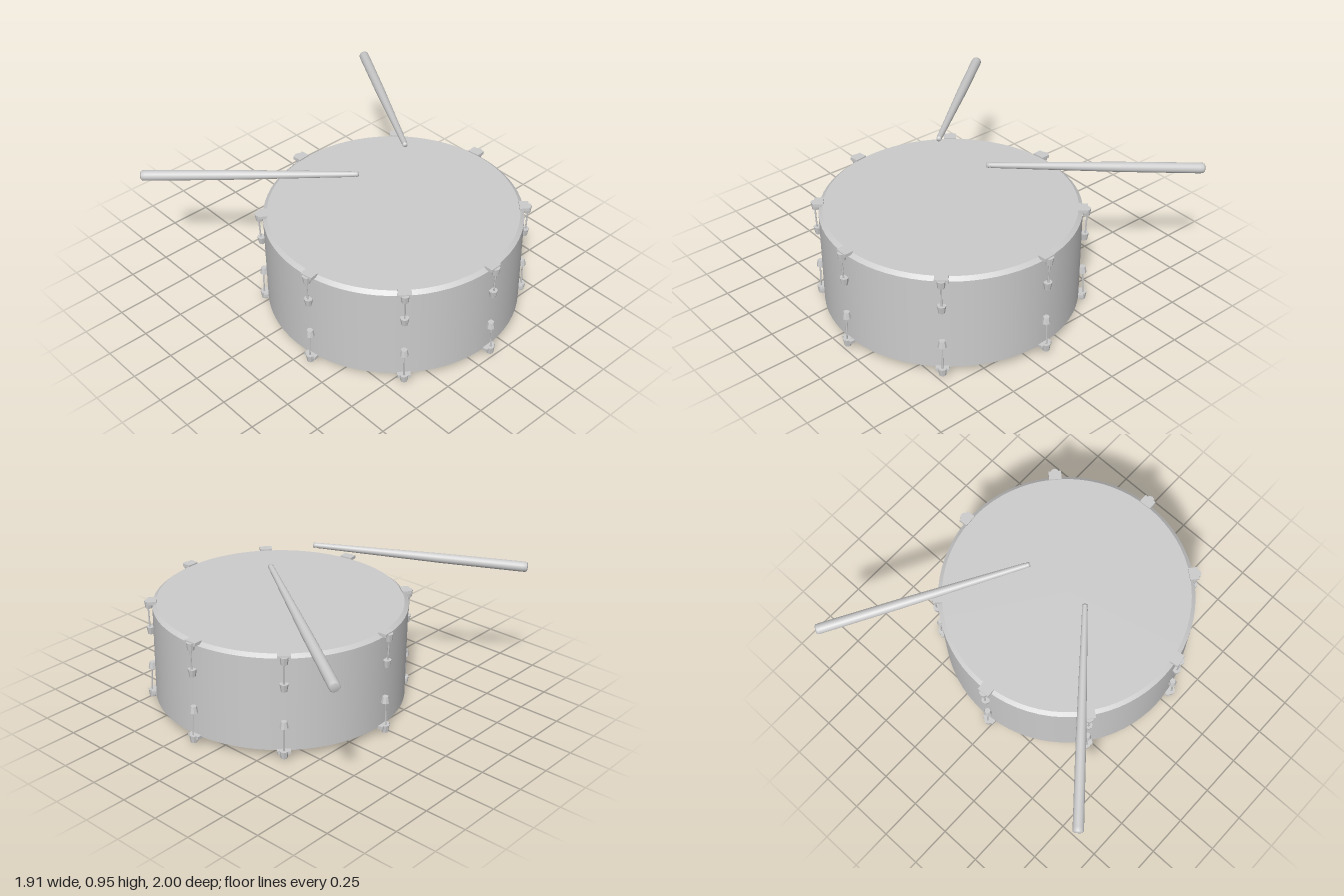
import * as THREE from 'three';

const smooth = new THREE.MeshStandardMaterial({ color: 0xcccccc });
const faceted = new THREE.MeshStandardMaterial({ color: 0xcccccc, flatShading: true });

const R = 0.757, HEAD_R = 0.733;           // shell and head radii
const TOP = 0.647, BOTTOM = 0.053, HOOP = 0.628;

function add(parent, name, geometry, material, x = 0, y = 0, z = 0) {
  const mesh = new THREE.Mesh(geometry, material);
  mesh.name = name;
  mesh.position.set(x, y, z);
  parent.add(mesh);
  return mesh;
}

const lathe = (points, segments) =>
  new THREE.LatheGeometry(points.map(([r, y]) => new THREE.Vector2(r, y)), segments);

// Thin rod between two points in the radial plane
function rod(parent, name, r0, y0, r1, y1) {
  const mesh = add(parent, name, new THREE.CylinderGeometry(0.005, 0.005, Math.hypot(r1 - r0, y1 - y0), 6),
    smooth, (r0 + r1) / 2, (y0 + y1) / 2);
  mesh.rotation.z = -Math.atan2(r1 - r0, y1 - y0);
}

// Claw gripping the hoop: a wide hook with a tapered body outside it
function claw(parent, name, hookY, bodyY) {
  const group = new THREE.Group();
  group.name = name;
  add(group, 'hook', new THREE.BoxGeometry(0.055, 0.02, 0.076), faceted, 0.757, hookY);
  add(group, 'clawBody', new THREE.CylinderGeometry(0.026, 0.02, 0.045, 8), faceted, 0.778, bodyY);
  add(group, 'tensionNut', new THREE.CylinderGeometry(0.012, 0.012, 0.03, 6), faceted, 0.782, bodyY - 0.006);
  parent.add(group);
}

// Upper and lower claw, rod and lug at one angle around the shell
function tensioner(angle) {
  const group = new THREE.Group();
  group.name = 'tensioner';
  group.rotation.y = -angle;
  claw(group, 'topClaw', 0.646, 0.627);
  rod(group, 'topRod', 0.782, 0.61, 0.777, 0.47);
  add(group, 'topLug', new THREE.CylinderGeometry(0.026, 0.018, 0.046, 8), faceted, 0.772, 0.46);
  add(group, 'bottomLug', new THREE.CylinderGeometry(0.018, 0.026, 0.04, 8), faceted, 0.772, 0.227);
  rod(group, 'bottomRod', 0.777, 0.22, 0.782, 0.05);
  claw(group, 'bottomClaw', 0.052, 0.04);
  return group;
}

// Drumstick tapering from a rounded butt to a small bead tip
function stick(name, butt, tip) {
  const a = new THREE.Vector3(...butt), b = new THREE.Vector3(...tip);
  const dir = b.clone().sub(a), L = dir.length();
  const profile = [[0, 0], [0.024, 0], [0.03, 0.008], [0.031, 0.03], [0.029, L * 0.4], [0.016, L - 0.03],
    [0.013, L - 0.022], [0.016, L - 0.014], [0.014, L - 0.004], [0, L]];
  const mesh = new THREE.Mesh(lathe(profile, 20), smooth);
  mesh.name = name;
  mesh.position.copy(a);
  mesh.quaternion.setFromUnitVectors(new THREE.Vector3(0, 1, 0), dir.normalize());
  return mesh;
}

export function createModel() {
  const model = new THREE.Group();
  model.name = 'snareDrumWithSticks';

  // Drum, leaning very slightly
  const drum = new THREE.Group();
  drum.name = 'drum';
  drum.position.set(0.088, 0.002, 0.197);
  drum.rotation.set(-0.005, 0, 0.011);
  model.add(drum);

  add(drum, 'shell', lathe([[R, BOTTOM], [R, HOOP]], 72), smooth);
  add(drum, 'hoop', lathe([[R, HOOP], [HEAD_R, TOP]], 72), smooth);
  add(drum, 'topHead', new THREE.CircleGeometry(HEAD_R, 72), smooth, 0, TOP).rotation.x = -Math.PI / 2;
  add(drum, 'bottomHead', new THREE.CircleGeometry(R, 72), smooth, 0, BOTTOM).rotation.x = Math.PI / 2;

  // Eight slightly uneven tensioners
  for (const deg of [-94.6, -45, -4.2, 42.4, 87.8, 129, 170.8, 218.4])
    drum.add(tensioner(THREE.MathUtils.degToRad(deg)));

  // Pair of sticks hovering above the head
  model.add(stick('rightStick', [-0.94, 0.82, -0.845], [-0.12, 0.943, 0.12]));
  model.add(stick('leftStick', [0.93, 0.82, -0.985], [0.27, 0.943, 0.09]));
  return model;
}
